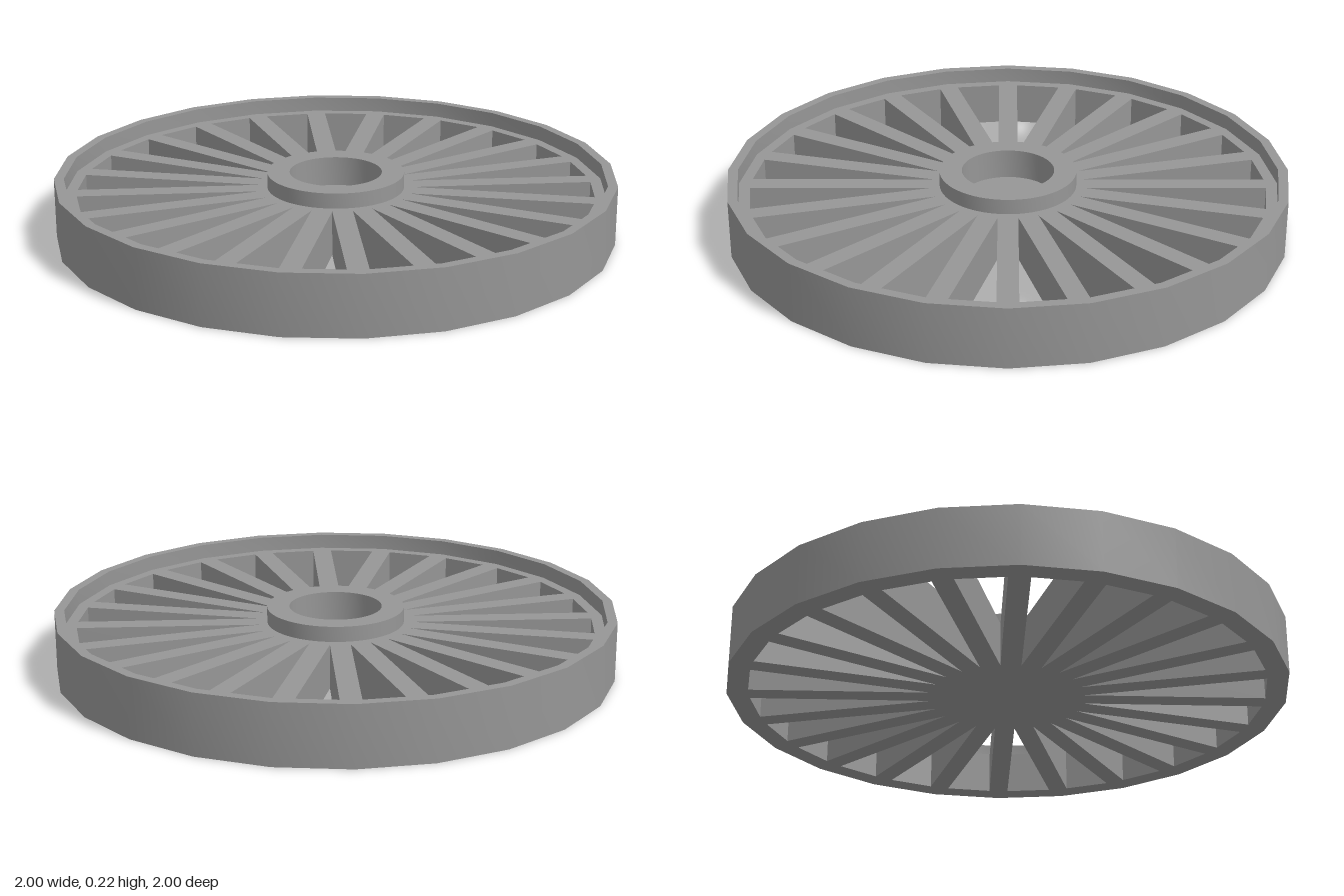
import * as THREE from 'three';
import { toCreasedNormals } from 'three/addons/utils/BufferGeometryUtils.js';

const SIDES = 24;
const STEP = (Math.PI * 2) / SIDES;
const HEIGHT = 0.215, SPOKE_TOP = 0.16, WELL_FLOOR = 0.108;
const LIP = 0.965, WINDOW = 0.925, SPOKE_HALF = 0.036;
const HUB = 0.245, WELL = 0.165, CORE = 0.2;

export function createModel() {
  const group = new THREE.Group();
  group.name = 'spokedWheel';
  const metal = new THREE.MeshStandardMaterial({ color: 0x969696 });
  metal.name = 'grey metal';

  const add = (name, geometry) => {
    const mesh = new THREE.Mesh(geometry, metal);
    mesh.name = name;
    group.add(mesh);
  };
  const turned = (profile, segments) => toCreasedNormals(
    new THREE.LatheGeometry(profile.map(([r, y]) => new THREE.Vector2(r, y)), segments), Math.PI / 5);
  const polar = (r, a) => new THREE.Vector2(r * Math.cos(a), r * Math.sin(a));

  // Faceted outer rim with a raised lip
  add('rim', turned([[LIP, 0], [1, 0], [1, HEIGHT], [LIP, HEIGHT], [LIP, SPOKE_TOP]], SIDES));

  // Spokes and inner ledge: one plate pierced by wedge-shaped windows
  const plate = new THREE.Shape(Array.from({ length: SIDES }, (_, i) => polar(LIP, i * STEP)));
  const half = STEP / 2;
  const tip = SPOKE_HALF / Math.sin(half);
  const edge = WINDOW * Math.cos(half);
  const spread = (edge - tip) * Math.tan(half);
  for (let i = 0; i < SIDES; i++) {
    const mid = (i + 0.5) * STEP;
    const corners = [[tip, 0], [edge, -spread], [edge, spread]].map(([x, y]) =>
      new THREE.Vector2(x, y).rotateAround(new THREE.Vector2(), mid));
    plate.holes.push(new THREE.Path(corners));
  }
  plate.holes.push(new THREE.Path().absarc(0, 0, CORE, 0, Math.PI * 2, true));
  const spokes = new THREE.ExtrudeGeometry(plate, { depth: SPOKE_TOP, bevelEnabled: false, curveSegments: 32 });
  add('spokes', spokes.rotateX(-Math.PI / 2));

  // Raised hub ring with a blind central well
  add('hub', turned([[HUB, SPOKE_TOP], [HUB, HEIGHT], [WELL, HEIGHT], [WELL, WELL_FLOOR], [0, WELL_FLOOR]], 64));

  // Flat underside of the hub
  add('hubUnderside', new THREE.CircleGeometry(CORE, 64).rotateX(Math.PI / 2));

  return group;
}
